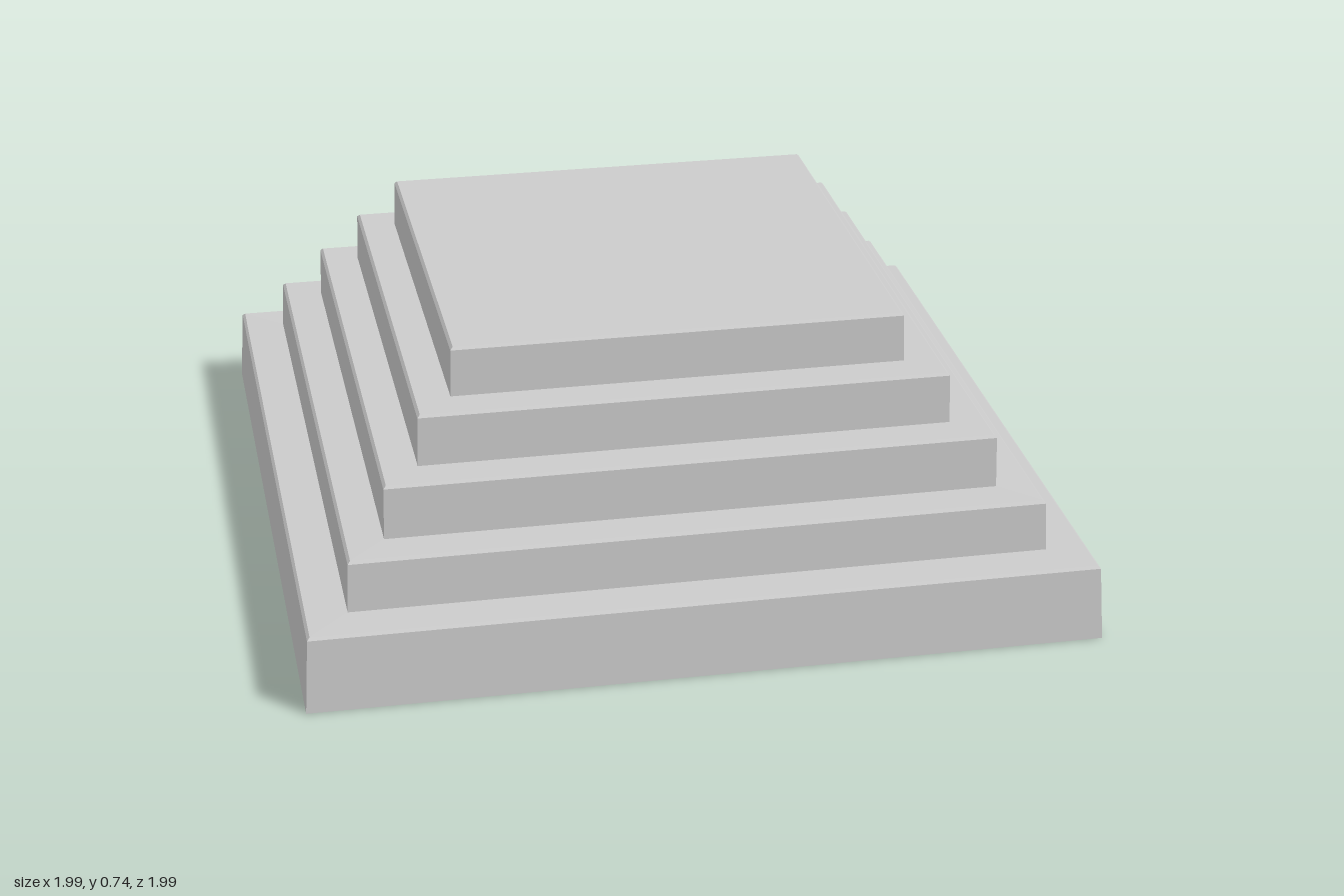
import * as THREE from 'three';

const BEVEL = 0.007;

// Each tier: name, half width at the foot, half width at the top, foot height, top height
const TIERS = [
  ['baseTier', 0.997, 0.986, 0.0, 0.198],
  ['secondTier', 0.877, 0.872, 0.2, 0.333],
  ['thirdTier', 0.772, 0.769, 0.335, 0.475],
  ['fourthTier', 0.673, 0.67, 0.476, 0.61],
  ['topTier', 0.576, 0.573, 0.611, 0.74],
];

// Square shell swept from a profile of [half width, height] points
function squareShell(profile) {
  const points = profile.map(([half, y]) => new THREE.Vector2(half * Math.SQRT2, y));
  const geometry = new THREE.LatheGeometry(points, 4, Math.PI / 4).toNonIndexed();
  geometry.computeVertexNormals();
  return geometry;
}

export function createModel() {
  const group = new THREE.Group();
  group.name = 'steppedPlatform';
  const material = new THREE.MeshStandardMaterial({
    color: 0xcccccc, flatShading: true, side: THREE.DoubleSide,
  });

  TIERS.forEach(([name, foot, top, y0, y1], i) => {
    // Wall, softened edge, then a tread running in to the next tier (hollow beneath)
    const next = TIERS[i + 1];
    const profile = [[foot, y0], [top, y1 - BEVEL], [top - BEVEL, y1]];
    profile.push(next ? [next[1], next[3]] : [0, y1 - 0.003]);
    const tier = new THREE.Mesh(squareShell(profile), material);
    tier.name = name;
    group.add(tier);
  });

  return group;
}
